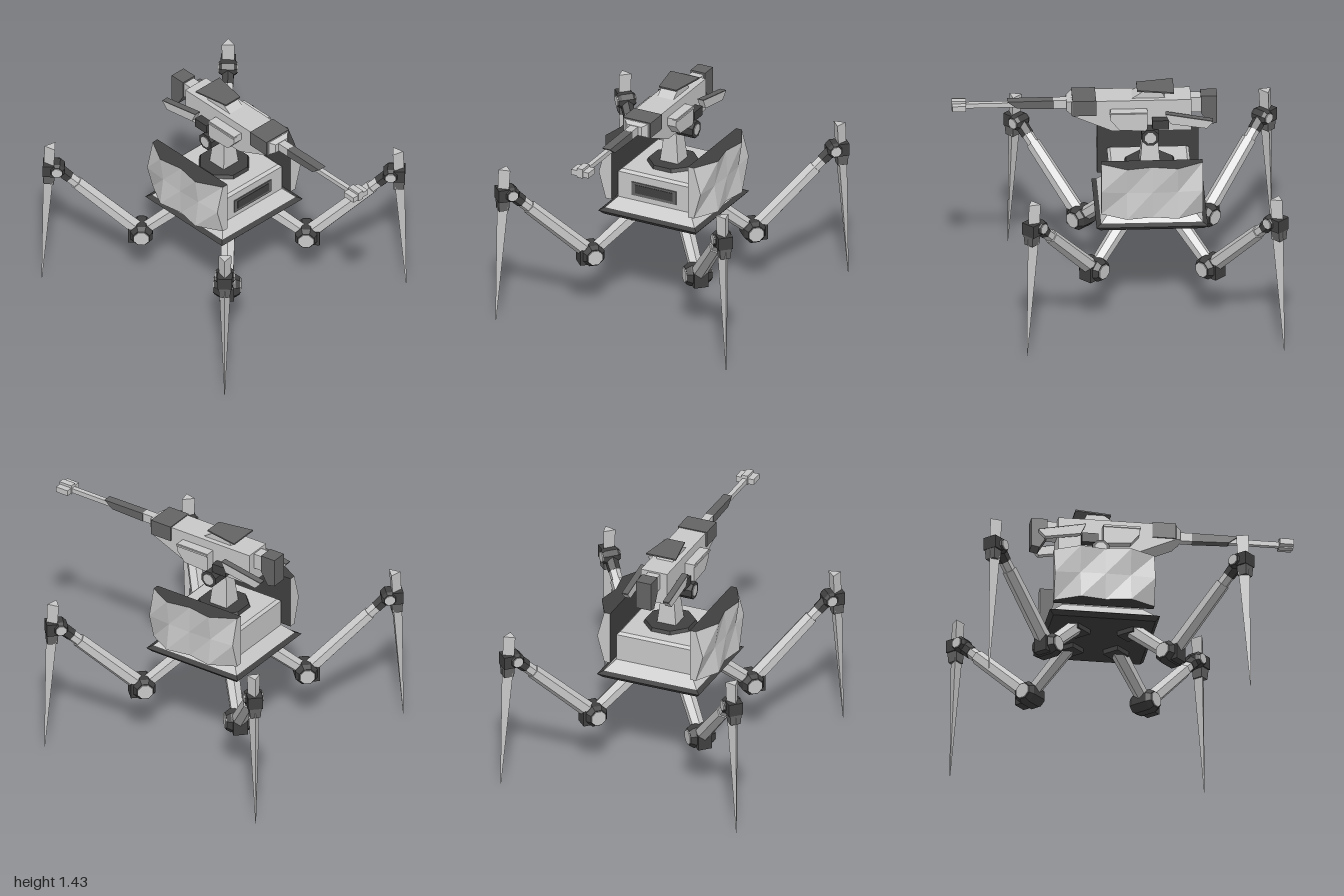
import * as THREE from 'three';

const mat = (name, color) => Object.assign(new THREE.MeshStandardMaterial({ color }), { name });
const light = mat('lightArmour', 0xc8c8c8);
const dark = mat('darkMetal', 0x646464);
const black = mat('jointBlack', 0x404040);
const CZ = -0.21; // centre of the chassis along z

function flat(geo) {
  const g = geo.index ? geo.toNonIndexed() : geo;
  g.computeVertexNormals();
  return g;
}

function add(parent, name, geo, material, x = 0, y = 0, z = 0) {
  const m = new THREE.Mesh(geo, material);
  m.name = name;
  m.position.set(x, y, z);
  parent.add(m);
  return m;
}

const box = (w, h, d) => new THREE.BoxGeometry(w, h, d);

// Four-sided block whose top differs in size from its bottom
function frustum(w0, d0, w1, d1, y0, y1) {
  const g = new THREE.BoxGeometry(1, 1, 1), p = g.attributes.position;
  for (let i = 0; i < p.count; i++) {
    const top = p.getY(i) > 0;
    p.setXYZ(i, p.getX(i) * (top ? w1 : w0), top ? y1 : y0, p.getZ(i) * (top ? d1 : d0));
  }
  return flat(g);
}

// Side profile of [z, y] points, extruded across x and centred
function profile(points, width) {
  const shape = new THREE.Shape(points.map(([z, y]) => new THREE.Vector2(z, y)));
  const g = new THREE.ExtrudeGeometry(shape, { depth: width, bevelEnabled: false });
  return g.translate(0, 0, -width / 2).rotateY(-Math.PI / 2);
}

// Faceted tapered bar between two points in the xy plane
function bar(parent, name, a, b, r0, r1, sides, material) {
  const A = new THREE.Vector3(a[0], a[1], 0), B = new THREE.Vector3(b[0], b[1], 0);
  const d = B.clone().sub(A);
  const g = flat(new THREE.CylinderGeometry(r1, r0, d.length(), sides, 1).rotateY(Math.PI / sides));
  const m = add(parent, name, g, material);
  m.position.copy(A).add(B).multiplyScalar(0.5);
  m.quaternion.setFromUnitVectors(new THREE.Vector3(0, 1, 0), d.normalize());
  return m;
}

// Octagonal joint along z with bevelled ends and pale caps
function joint(parent, name, x, y, r, half) {
  const pts = [[0, -half], [r * 0.75, -half], [r, -half * 0.65], [r, half * 0.65], [r * 0.75, half], [0, half]];
  const g = new THREE.LatheGeometry(pts.map(p => new THREE.Vector2(...p)), 8);
  add(parent, name, flat(g.rotateY(Math.PI / 8).rotateX(Math.PI / 2)), black, x, y);
  for (const s of [-1, 1]) {
    const cap = flat(new THREE.CylinderGeometry(r * 0.66, r * 0.66, 0.008, 8).rotateY(Math.PI / 8).rotateX(Math.PI / 2));
    add(parent, name + 'Cap', cap, light, x, y, s * (half + 0.002));
  }
}

// Triangular blade-like shin: rows are [y, base u, apex u, half width]
function shin() {
  const rows = [[0.005, 1.109, 1.113, 0.002], [0.76, 1.045, 1.103, 0.034], [1.02, 1.03, 1.094, 0.04]];
  const ring = rows.map(([y, b, a, w]) => [[a, y, 0], [b, y, -w], [b, y, w]]);
  const v = [];
  for (let r = 0; r < 2; r++) {
    for (let i = 0; i < 3; i++) {
      const j = (i + 1) % 3, A = ring[r][i], B = ring[r][j], C = ring[r + 1][j], D = ring[r + 1][i];
      v.push(...A, ...B, ...C, ...A, ...C, ...D);
    }
  }
  v.push(...ring[2][0], ...ring[2][1], ...ring[2][2], ...ring[0][0], ...ring[0][2], ...ring[0][1]);
  const g = new THREE.BufferGeometry();
  g.setAttribute('position', new THREE.Float32BufferAttribute(v, 3));
  return flat(g);
}

function makeLeg(name, angle, dz) {
  const leg = new THREE.Group();
  leg.name = name;
  leg.rotation.y = angle;
  leg.position.set(0, 0, CZ + dz);
  add(leg, 'hipMount', box(0.12, 0.04, 0.11), black, 0.2, 0.605);
  bar(leg, 'hipStrut', [0.19, 0.64], [0.48, 0.4], 0.05, 0.043, 6, light);
  joint(leg, 'lowerJoint', 0.502, 0.38, 0.073, 0.08);
  add(leg, 'lowerJointHousing', box(0.1, 0.1, 0.09), black, 0.535, 0.37);
  bar(leg, 'thigh', [0.52, 0.39], [0.9, 0.745], 0.05, 0.045, 6, light);
  bar(leg, 'thighNeck', [0.87, 0.717], [0.975, 0.815], 0.037, 0.036, 6, light);
  bar(leg, 'kneeCollar', [0.945, 0.787], [1.02, 0.857], 0.04, 0.042, 6, black);
  joint(leg, 'kneeJoint', 1.018, 0.855, 0.05, 0.055);
  add(leg, 'kneeClamp', box(0.085, 0.08, 0.092), black, 1.062, 0.855);
  add(leg, 'shinCollar', frustum(0.062, 0.064, 0.07, 0.076, -0.035, 0.035), dark, 1.067, 0.785);
  add(leg, 'shin', shin(), light);
  return leg;
}

// Faceted side shield: pinched at mid height, zigzag along its length
function makeShield(side) {
  const g = new THREE.Group();
  g.name = side > 0 ? 'leftShield' : 'rightShield';
  const zs = [-0.31, -0.155, 0, 0.155, 0.31], ys = [0.72, 0.89, 1.06];
  const edge = [0.305, 0.39, 0.362, 0.39, 0.305], mid = [0.352, 0.365, 0.37, 0.365, 0.352];
  const inner = 0.265, outer = (r, c) => [r === 1 ? mid[c] : edge[c], ys[r], zs[c] + CZ];
  const back = (r, c) => [inner, ys[r], zs[c] + CZ];
  const shell = [], rim = [];
  const quad = (list, a, b, c, d) => {
    const [A, B, C, D] = (side > 0 ? [a, b, c, d] : [d, c, b, a]).map(p => [p[0] * side, p[1], p[2]]);
    list.push(...A, ...B, ...C, ...A, ...C, ...D);
  };
  for (let c = 0; c < 4; c++) {
    for (let r = 0; r < 2; r++) {
      quad(shell, outer(r, c + 1), outer(r, c), outer(r + 1, c), outer(r + 1, c + 1));
      quad(rim, back(r, c), back(r, c + 1), back(r + 1, c + 1), back(r + 1, c));
    }
    quad(rim, back(2, c), back(2, c + 1), outer(2, c + 1), outer(2, c));
    quad(rim, back(0, c + 1), back(0, c), outer(0, c), outer(0, c + 1));
  }
  for (let r = 0; r < 2; r++) {
    quad(shell, back(r, 4), outer(r, 4), outer(r + 1, 4), back(r + 1, 4));
    quad(shell, outer(r, 0), back(r, 0), back(r + 1, 0), outer(r + 1, 0));
  }
  for (const [name, list, m] of [['shieldShell', shell, light], ['shieldRim', rim, black]]) {
    const geo = new THREE.BufferGeometry();
    geo.setAttribute('position', new THREE.Float32BufferAttribute(list, 3));
    add(g, name, flat(geo), m);
  }
  add(g, 'shieldBracket', box(0.03, 0.07, 0.3), dark, side * 0.255, 0.835, CZ);
  return g;
}

function makeBody() {
  const g = new THREE.Group();
  g.name = 'body';
  add(g, 'basePlateUnderside', frustum(0.63, 0.63, 0.68, 0.68, 0.615, 0.642), black, 0, 0, CZ);
  add(g, 'basePlateLip', frustum(0.68, 0.68, 0.62, 0.62, 0.642, 0.657), black, 0, 0, CZ);
  add(g, 'skirt', frustum(0.62, 0.62, 0.5, 0.5, 0.657, 0.72), light, 0, 0, CZ);
  add(g, 'hull', box(0.5, 0.17, 0.5), light, 0, 0.805, CZ);
  add(g, 'hullRoof', frustum(0.5, 0.5, 0.465, 0.465, 0.89, 0.906), light, 0, 0, CZ);
  // Front hatch
  add(g, 'hatchFrame', box(0.31, 0.088, 0.008), dark, 0, 0.798, CZ + 0.253);
  add(g, 'hatchPanel', box(0.26, 0.056, 0.006), black, 0, 0.8, CZ + 0.257);
  // Turntable and pedestal
  add(g, 'turntable', flat(new THREE.CylinderGeometry(0.155, 0.165, 0.022, 8).rotateY(Math.PI / 8)), black, 0, 0.916, CZ);
  add(g, 'pedestal', frustum(0.125, 0.125, 0.075, 0.085, 0.925, 1.15), light, 0, 0, CZ);
  return g;
}

function makeGun() {
  const g = new THREE.Group();
  g.name = 'gun';
  // Tilt axle
  const axle = (r, l) => flat(new THREE.CylinderGeometry(r, r, l, 8).rotateY(Math.PI / 8).rotateZ(Math.PI / 2));
  add(g, 'axle', axle(0.056, 0.32), black, 0, 1.16, -0.207);
  add(g, 'axleCaps', axle(0.037, 0.328), light, 0, 1.16, -0.207);
  // Receiver and its front sleeve
  add(g, 'receiver', profile([[0.27, 1.285], [0.02, 1.175], [-0.46, 1.172], [-0.46, 1.38], [0.27, 1.38]], 0.175), light);
  add(g, 'frontSleeve', box(0.192, 0.1, 0.145), dark, 0, 1.336, 0.193);
  add(g, 'noseTaper', frustum(0.17, 0.095, 0.1, 0.06, 0, 0.035).rotateX(Math.PI / 2), light, 0, 1.333, 0.265);
  // Barrel
  add(g, 'barrelRoot', box(0.052, 0.055, 0.09), light, 0, 1.333, 0.335);
  add(g, 'barrelShroud', profile([[0.66, 1.358], [0.6, 1.312], [0.375, 1.305], [0.375, 1.36]], 0.056), dark);
  add(g, 'barrel', box(0.03, 0.03, 0.36), light, 0, 1.33, 0.78);
  add(g, 'muzzleBrake', box(0.12, 0.036, 0.085), light, 0, 1.332, 0.955);
  add(g, 'muzzleBlock', box(0.04, 0.06, 0.088), light, 0, 1.336, 0.956);
  // Top sight: pale riser carrying a tapered dark plate
  add(g, 'sightRiser', profile([[-0.1, 1.38], [-0.3, 1.38], [-0.28, 1.426], [-0.17, 1.426]], 0.11), light);
  const plate = new THREE.Shape([[-0.1, 0.355], [0.1, 0.355], [0.06, 0.13], [-0.06, 0.13]].map(p => new THREE.Vector2(...p)));
  add(g, 'sightPlate', new THREE.ExtrudeGeometry(plate, { depth: 0.009, bevelEnabled: false }).rotateX(-Math.PI / 2), dark, 0, 1.426, 0);
  // Rear counterweight
  add(g, 'rearNeck', box(0.08, 0.1, 0.09), light, 0, 1.32, -0.49);
  add(g, 'counterweight', profile([[-0.52, 1.382], [-0.52, 1.27], [-0.57, 1.19], [-0.62, 1.2], [-0.62, 1.382]], 0.1), dark);
  for (const s of [-1, 1]) {
    // Side pods and trailing stabiliser fins
    add(g, 'sidePod', profile([[0.035, 1.325], [0.035, 1.275], [-0.02, 1.21], [-0.19, 1.2], [-0.19, 1.325]], 0.06), light, s * 0.118);
    add(g, 'podRail', box(0.03, 0.012, 0.23), light, s * 0.14, 1.315, -0.075);
    add(g, 'finBracket', box(0.055, 0.06, 0.1), black, s * 0.112, 1.235, -0.27);
    add(g, 'fin', profile([[-0.3, 1.312], [-0.33, 1.25], [-0.55, 1.215], [-0.59, 1.258]], 0.04), light, s * 0.137);
    add(g, 'finTop', profile([[-0.3, 1.318], [-0.3, 1.312], [-0.59, 1.258], [-0.59, 1.264]], 0.041), dark, s * 0.137);
  }
  return g;
}

export function createModel() {
  const model = new THREE.Group();
  model.name = 'walkerTurret';
  model.add(makeBody(), makeGun(), makeShield(1), makeShield(-1));
  // Four diagonal legs; one front leg stands slightly forward
  const q = Math.PI / 4;
  model.add(makeLeg('frontLeftLeg', -q, 0), makeLeg('frontRightLeg', -3 * q, 0.045));
  model.add(makeLeg('backLeftLeg', q, 0), makeLeg('backRightLeg', 3 * q, 0));
  return model;
}
